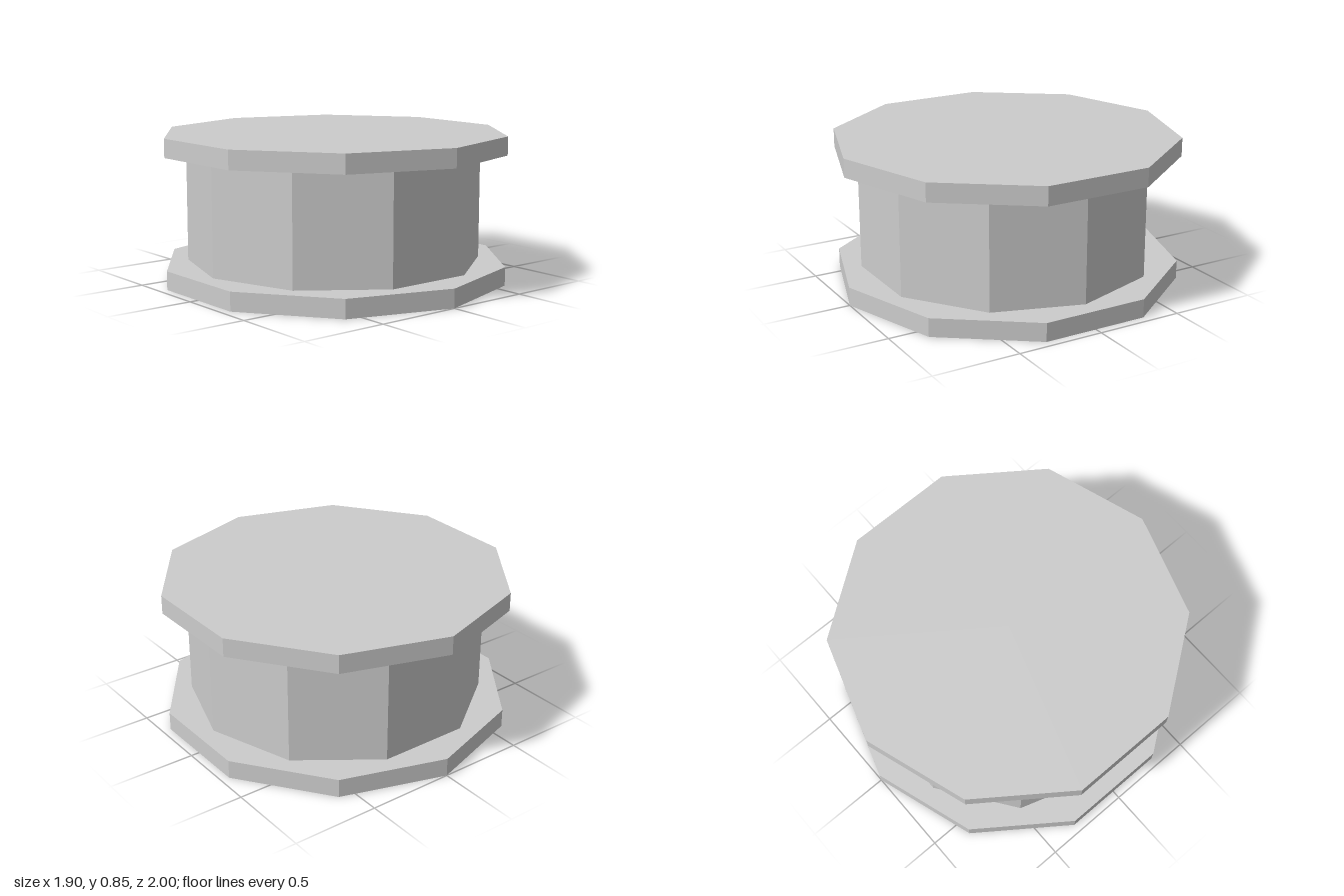
import * as THREE from 'three';

const SIDES = 10;
const HEIGHT = 0.85;
const FLANGE = 0.107;

export function createModel() {
  const group = new THREE.Group();
  group.name = 'spool';
  const grey = new THREE.MeshStandardMaterial({ color: 0xcccccc, flatShading: true });
  grey.name = 'light grey';

  // Ten-sided drum standing between two heights
  const drum = (name, radius, bottom, top, turn = 0) => {
    const geometry = new THREE.CylinderGeometry(radius, radius, top - bottom, SIDES, 1, false, turn);
    const mesh = new THREE.Mesh(geometry, grey);
    mesh.name = name;
    mesh.position.y = (bottom + top) / 2;
    group.add(mesh);
  };

  // Flanges have a corner at the front; the core has a flat there
  drum('bottomFlange', 1, 0, FLANGE);
  drum('core', 0.85, FLANGE, HEIGHT - FLANGE, Math.PI / SIDES);
  drum('topFlange', 1, HEIGHT - FLANGE, HEIGHT);

  return group;
}
